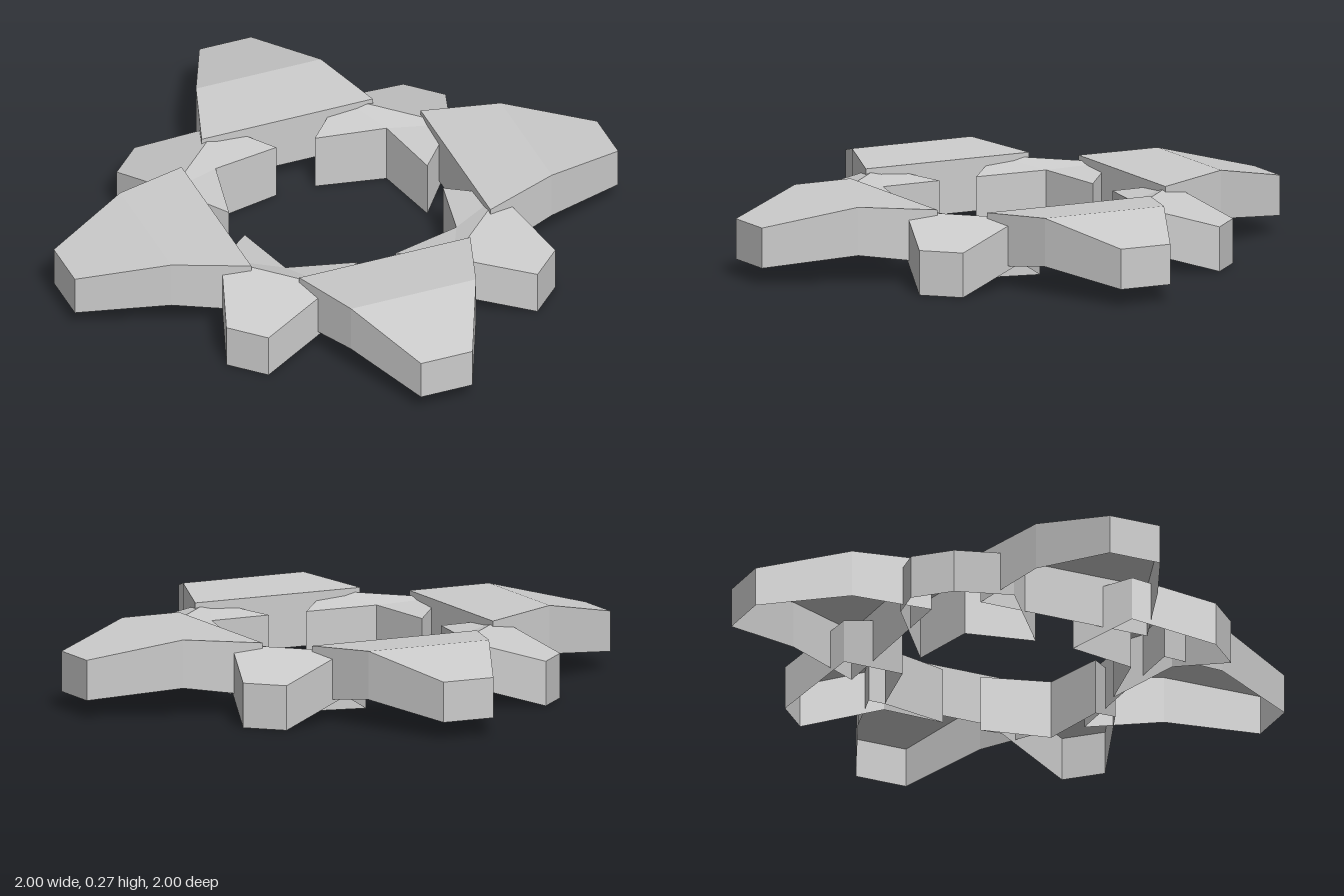
import * as THREE from 'three';

const material = new THREE.MeshStandardMaterial({
  color: 0xcccccc, flatShading: true, side: THREE.DoubleSide,
});

// Open-bottomed shell: rim points are [side, along, bottom, top], counter-clockwise from above.
function shell(rim, topFaces) {
  const pos = [];
  const low = (p) => [p[0], p[2], p[1]];
  const high = (p) => [p[0], p[3], p[1]];
  rim.forEach((a, i) => {
    const b = rim[(i + 1) % rim.length];
    pos.push(...low(a), ...low(b), ...high(b), ...low(a), ...high(b), ...high(a));
  });
  for (const face of topFaces) {
    for (let k = 1; k < face.length - 1; k++) {
      for (const i of [face[0], face[k], face[k + 1]]) pos.push(...high(rim[i]));
    }
  }
  const geometry = new THREE.BufferGeometry();
  geometry.setAttribute('position', new THREE.Float32BufferAttribute(pos, 3));
  geometry.computeVertexNormals();
  return geometry;
}

export function createModel() {
  const model = new THREE.Group();

  // Long tapered arm, raised at its middle
  const arm = shell([
    [-0.095, 1, 0.06, 0.2], [0.095, 1, 0.06, 0.2],
    [0.23, 0.7, 0.1, 0.268], [0.315, 0.44, 0.065, 0.25],
    [-0.315, 0.44, 0.065, 0.25], [-0.23, 0.7, 0.1, 0.268],
  ], [[0, 1, 2, 5], [5, 2, 3, 4]]);

  // Short diagonal brace with a V-notched inner end
  const brace = shell([
    [-0.078, 0.778, 0, 0.155], [0.078, 0.778, 0, 0.155],
    [0.205, 0.52, 0.08, 0.235], [0.208, 0.308, 0, 0.2],
    [0, 0.445, 0, 0.21],
    [-0.208, 0.308, 0, 0.2], [-0.205, 0.52, 0.08, 0.235],
  ], [[0, 1, 2, 6], [2, 3, 4], [6, 2, 4], [6, 4, 5]]);

  for (let i = 0; i < 4; i++) {
    const armMesh = new THREE.Mesh(arm, material);
    armMesh.name = `arm${i + 1}`;
    armMesh.rotation.y = (i * Math.PI) / 2;
    const braceMesh = new THREE.Mesh(brace, material);
    braceMesh.name = `diagonalBrace${i + 1}`;
    braceMesh.rotation.y = (i + 0.5) * Math.PI / 2;
    model.add(armMesh, braceMesh);
  }
  return model;
}
